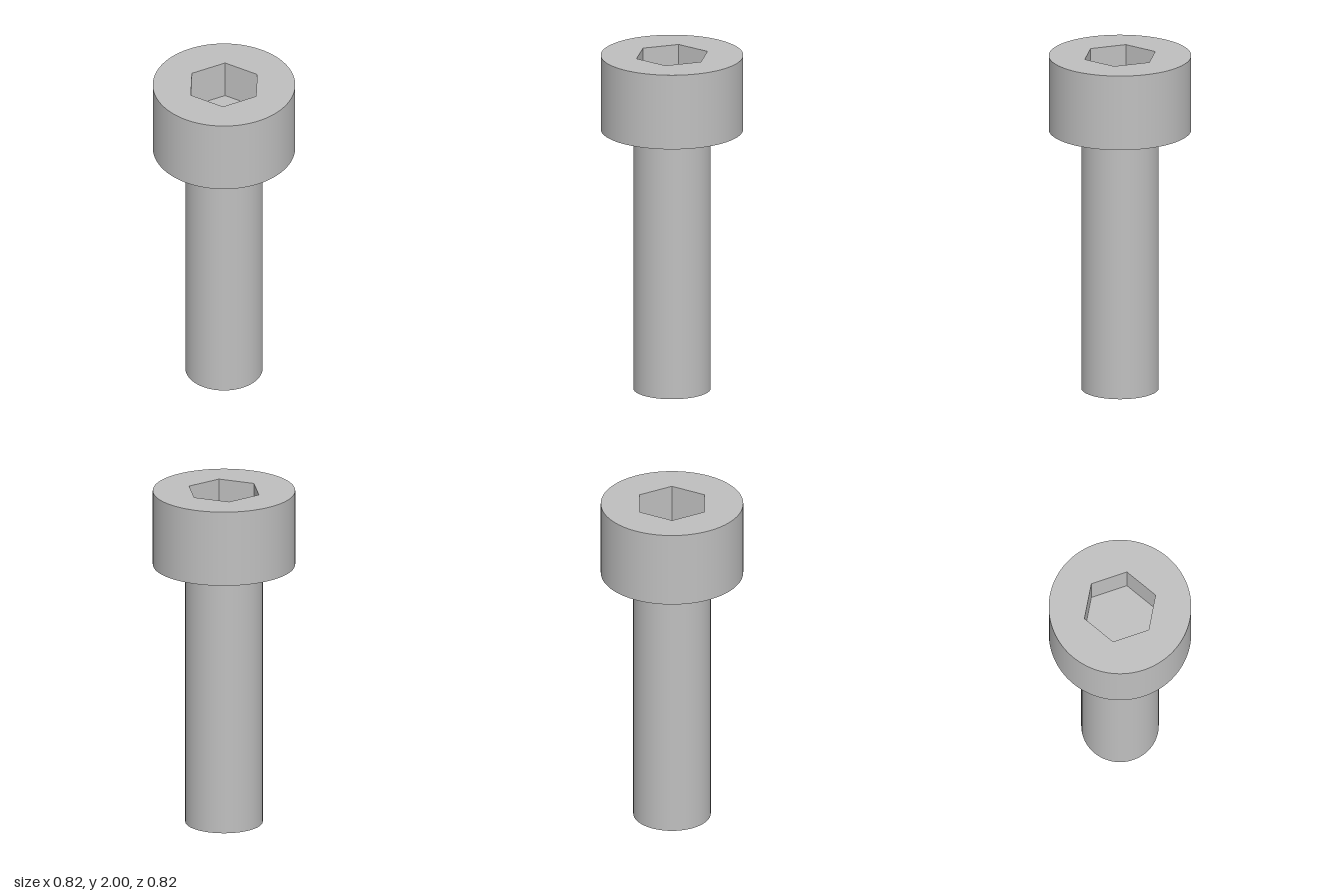
import * as THREE from 'three';

const HEAD_R = 0.41, SHANK_R = 0.223, HEX_R = 0.217;
const TOP = 2, HEAD_Y = 1.555, SOCKET_DEPTH = 0.23;
const SEGMENTS = 96;

export function createModel() {
  const steel = new THREE.MeshStandardMaterial({ color: 0xbfbfbf });
  steel.name = 'steel';

  const add = (parent, name, geometry, y) => {
    const mesh = new THREE.Mesh(geometry, steel);
    mesh.name = name;
    mesh.position.y = y;
    parent.add(mesh);
  };

  const bolt = new THREE.Group();
  bolt.name = 'socketHeadBolt';
  const head = new THREE.Group();
  head.name = 'head';
  bolt.add(head);

  // Shank: open tube wall with a flat end
  add(bolt, 'shank', new THREE.CylinderGeometry(SHANK_R, SHANK_R, HEAD_Y, SEGMENTS, 1, true), HEAD_Y / 2);
  add(bolt, 'shankEnd', new THREE.CircleGeometry(SHANK_R, SEGMENTS).rotateX(Math.PI / 2), 0);

  // Head wall and the bearing face under it
  const headHeight = TOP - HEAD_Y;
  add(head, 'headWall', new THREE.CylinderGeometry(HEAD_R, HEAD_R, headHeight, SEGMENTS, 1, true), HEAD_Y + headHeight / 2);
  add(head, 'headUnderside', new THREE.RingGeometry(SHANK_R, HEAD_R, SEGMENTS).rotateX(Math.PI / 2), HEAD_Y);

  // Top face with a hexagonal opening, corners on the x axis
  const hexPoints = Array.from({ length: 6 }, (_, i) =>
    new THREE.Vector2(HEX_R * Math.cos(i * Math.PI / 3), HEX_R * Math.sin(i * Math.PI / 3)));
  const topShape = new THREE.Shape().absarc(0, 0, HEAD_R, 0, Math.PI * 2);
  topShape.holes.push(new THREE.Path(hexPoints));
  add(head, 'headTop', new THREE.ShapeGeometry(topShape, SEGMENTS).rotateX(-Math.PI / 2), TOP);

  // Socket walls turned inward by mirroring, with flat normals
  const socket = new THREE.CylinderGeometry(HEX_R, HEX_R, SOCKET_DEPTH, 6, 1, true)
    .rotateY(Math.PI / 6).scale(-1, 1, 1).toNonIndexed();
  socket.computeVertexNormals();
  add(head, 'socketWalls', socket, TOP - SOCKET_DEPTH / 2);
  add(head, 'socketFloor', new THREE.ShapeGeometry(new THREE.Shape(hexPoints)).rotateX(-Math.PI / 2), TOP - SOCKET_DEPTH);

  return bolt;
}
